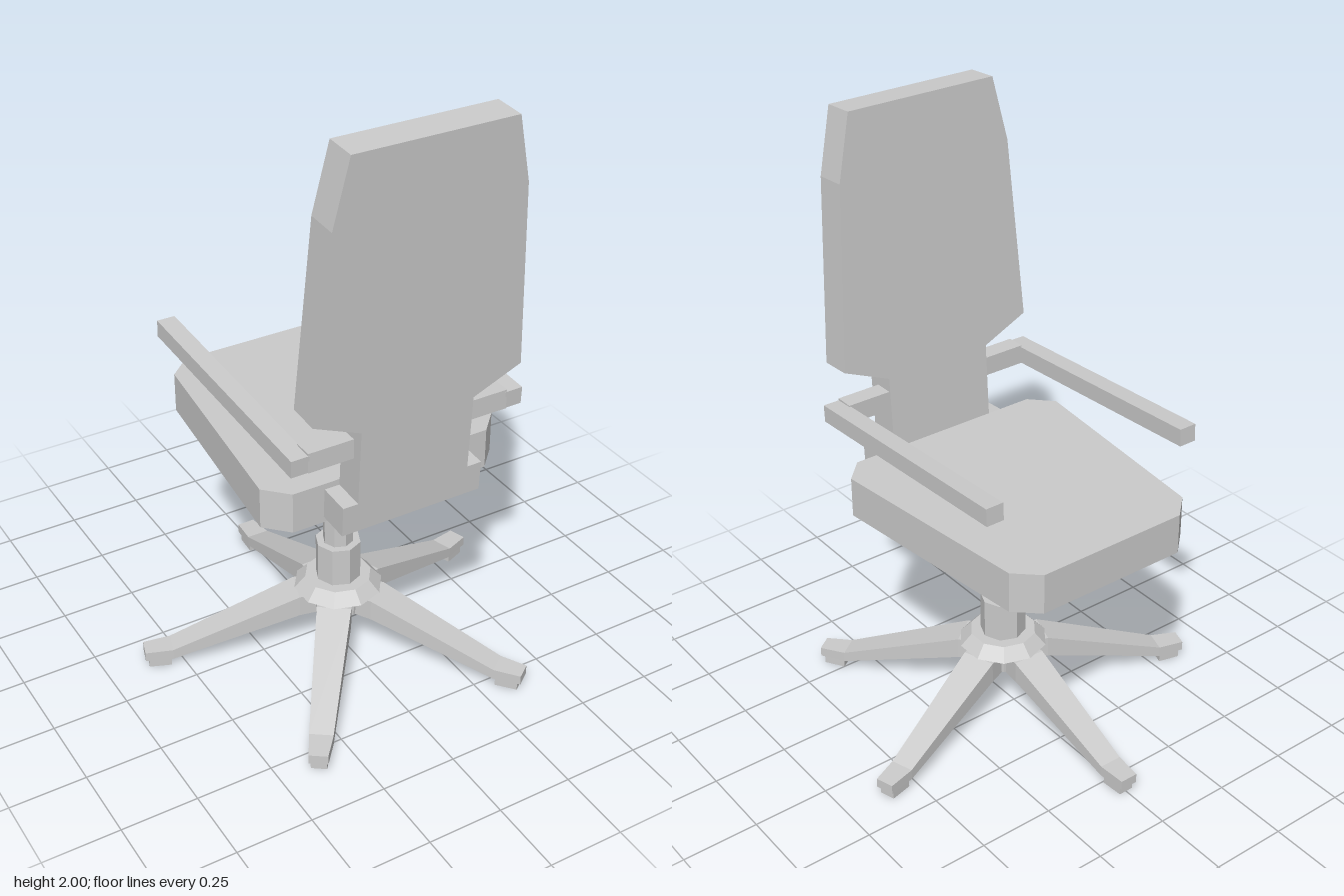
import * as THREE from 'three';

const material = new THREE.MeshStandardMaterial({ color: 0xcccccc, flatShading: true });
const AXIS_Z = 0.06; // the swivel axis sits slightly off centre

function addMesh(parent, name, geometry, x = 0, y = 0, z = 0) {
  const mesh = new THREE.Mesh(geometry, material);
  mesh.name = name;
  mesh.position.set(x, y, z);
  parent.add(mesh);
  return mesh;
}

// Symmetric outline from its right half, listed bottom to top
function mirroredShape(half) {
  const left = half.map(([x, y]) => [-x, y]).reverse();
  return new THREE.Shape([...half, ...left].map(([x, y]) => new THREE.Vector2(x, y)));
}

function extrude(half, depth) {
  return new THREE.ExtrudeGeometry(mirroredShape(half), { depth, bevelEnabled: false });
}

// Four-sided bar along +z through sections { r, w: half width, top, bottom }
function loft(sections) {
  const positions = [];
  const index = [];
  for (const { r, w, top, bottom } of sections) {
    positions.push(-w, bottom, r, w, bottom, r, w, top, r, -w, top, r);
  }
  const last = (sections.length - 1) * 4;
  for (let s = 0; s < last; s += 4) {
    for (let i = 0; i < 4; i++) {
      const a = s + i, b = s + (i + 1) % 4;
      index.push(a, b, b + 4, a, b + 4, a + 4);
    }
  }
  index.push(0, 2, 1, 0, 3, 2, last, last + 1, last + 2, last, last + 2, last + 3);
  const geometry = new THREE.BufferGeometry();
  geometry.setAttribute('position', new THREE.Float32BufferAttribute(positions, 3));
  geometry.setIndex(index);
  const flat = geometry.toNonIndexed();
  flat.computeVertexNormals();
  return flat;
}

export function createModel() {
  const chair = new THREE.Group();
  chair.name = 'officeChair';

  // Seat cushion: tapered plan with cut corners
  const seat = extrude([[0.34, -0.372], [0.41, -0.30], [0.335, 0.41], [0.26, 0.48]], 0.135);
  seat.rotateX(-Math.PI / 2);
  addMesh(chair, 'seat', seat, 0, 0.745, 0);

  // Backrest: one leaning slab with a narrow waist
  const back = extrude([
    [0.24, 0], [0.24, 0.1], [0.19, 0.1], [0.19, 0.35],
    [0.35, 0.42], [0.31, 1.02], [0.262, 1.23],
  ], 0.105);
  addMesh(chair, 'backrest', back, 0, 0.77, 0.378).rotation.x = 0.058;

  // Armrests, each with a crossbar to the back
  for (const side of [1, -1]) {
    const arm = new THREE.Group();
    arm.name = side > 0 ? 'leftArm' : 'rightArm';
    addMesh(arm, 'armBar', new THREE.BoxGeometry(0.06, 0.057, 0.85), side * 0.365, 1.057, 0.038).rotation.x = 0.05;
    addMesh(arm, 'armCrossbar', new THREE.BoxGeometry(0.18, 0.065, 0.062), side * 0.25, 1.039, 0.432);
    chair.add(arm);
  }

  // Swivel base: column, sleeve, hub and five legs
  const base = new THREE.Group();
  base.name = 'swivelBase';
  base.position.z = AXIS_Z;
  chair.add(base);
  addMesh(base, 'column', new THREE.CylinderGeometry(0.05, 0.05, 0.36, 8), 0, 0.57, 0);
  addMesh(base, 'sleeve', new THREE.CylinderGeometry(0.075, 0.075, 0.14, 8), 0, 0.33, 0);
  addMesh(base, 'hubCap', new THREE.CylinderGeometry(0.11, 0.147, 0.04, 10), 0, 0.245, 0);
  addMesh(base, 'hubCore', new THREE.CylinderGeometry(0.105, 0.1, 0.07, 10), 0, 0.19, 0);

  const legGeometry = loft([
    { r: 0.05, w: 0.05, top: 0.225, bottom: 0.155 },
    { r: 0.14, w: 0.056, top: 0.225, bottom: 0.152 },
    { r: 0.56, w: 0.038, top: 0.066, bottom: 0.03 },
    { r: 0.65, w: 0.03, top: 0.062, bottom: 0.03 },
  ]);
  const footGeometry = loft([
    { r: 0.565, w: 0.03, top: 0.032, bottom: 0 },
    { r: 0.638, w: 0.025, top: 0.032, bottom: 0 },
  ]);
  for (let i = 0; i < 5; i++) {
    const leg = new THREE.Group();
    leg.name = 'leg' + (i + 1);
    leg.rotation.y = Math.PI + (i * Math.PI * 2) / 5;
    addMesh(leg, 'legBar', legGeometry);
    addMesh(leg, 'foot', footGeometry);
    base.add(leg);
  }
  return chair;
}
